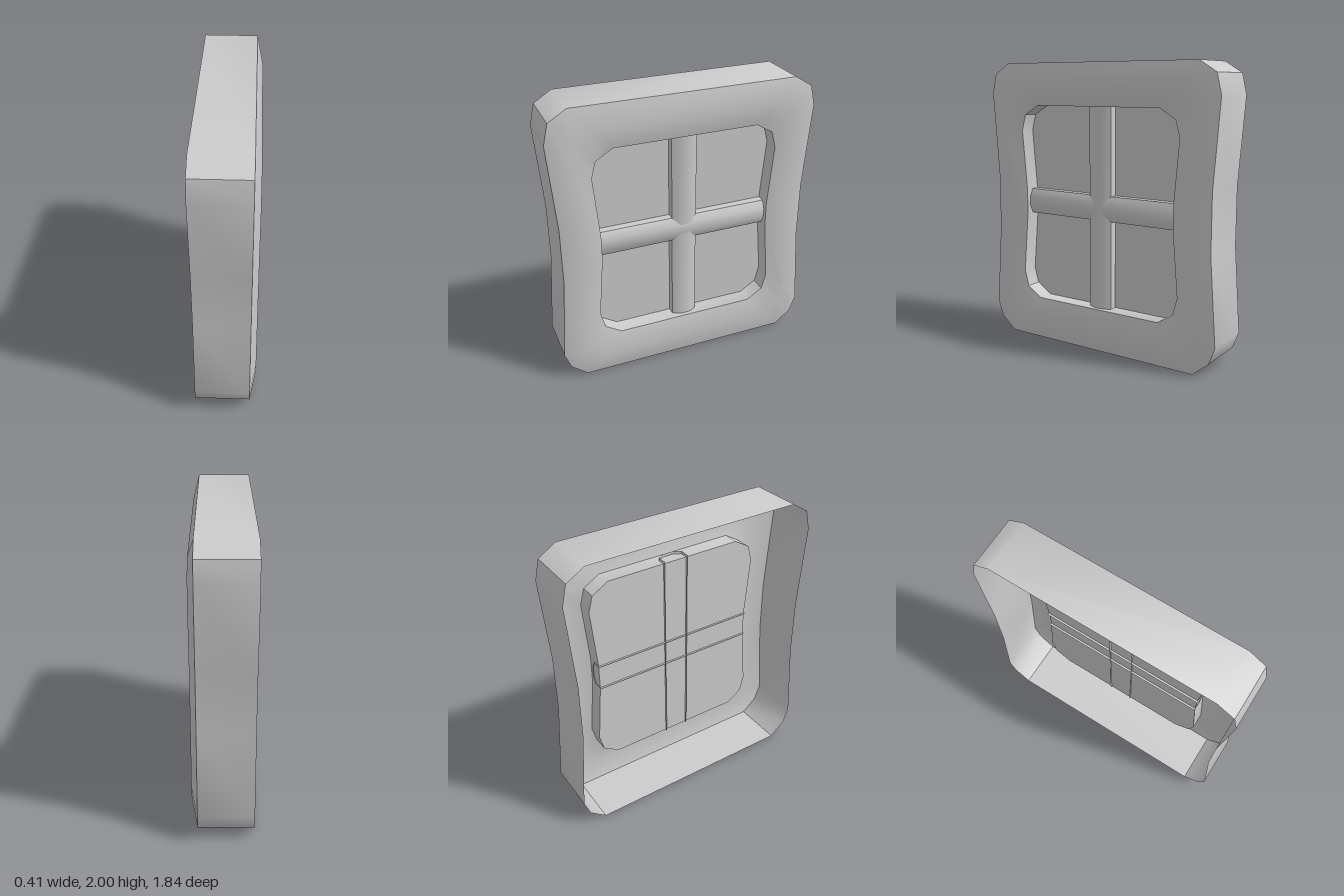
import * as THREE from 'three';
import { toCreasedNormals } from 'three/addons/utils/BufferGeometryUtils.js';

const material = new THREE.MeshStandardMaterial({ color: 0xcccccc, side: THREE.DoubleSide });

// Skin a surface over a list of rings of [x, y, z] points
function loft(rings, closed) {
  const n = rings[0].length;
  const index = [];
  for (let i = 0; i < rings.length - 1; i++) {
    for (let j = 0; j < (closed ? n : n - 1); j++) {
      const k = (j + 1) % n;
      const a = i * n + j, b = i * n + k;
      index.push(a, b, b + n, a, b + n, a + n);
    }
  }
  const geometry = new THREE.BufferGeometry();
  geometry.setAttribute('position', new THREE.Float32BufferAttribute(rings.flat(2), 3));
  geometry.setIndex(index);
  return toCreasedNormals(geometry, THREE.MathUtils.degToRad(35));
}

// Mirror a half outline of [z, y] points to the other side
const mirror = (half) => [...half, ...half.map(([z, y]) => [-z, y]).reverse()];
const ring = (outline, x) => outline.map(([z, y]) => [x, y, z]);

function addMesh(parent, name, geometry) {
  const mesh = new THREE.Mesh(geometry, material);
  mesh.name = name;
  parent.add(mesh);
  return mesh;
}

export function createModel() {
  const group = new THREE.Group();
  group.name = 'window';

  // Pinched outlines with clipped corners: outer edge, opening and the ridge midway
  const outer = mirror([[0.765, 2], [0.887, 1.925], [0.92, 1.787], [0.876, 1.2],
    [0.876, 0.8], [0.92, 0.21], [0.878, 0.095], [0.765, 0]]);
  const inner = mirror([[0.498, 1.705], [0.612, 1.637], [0.643, 1.525], [0.606, 1.1],
    [0.606, 0.92], [0.643, 0.49], [0.612, 0.373], [0.498, 0.3]]);
  const ridge = outer.map(([z, y], i) => [(z + inner[i][0]) / 2, (y + inner[i][1]) / 2]);

  // Hollow frame, open at the back
  const backX = -0.203, rimX = 0.163, ridgeX = 0.203, paneX = 0.05;
  addMesh(group, 'frame', loft([
    ring(outer, backX), ring(outer, rimX), ring(ridge, ridgeX), ring(inner, rimX), ring(inner, paneX),
  ], true));

  // Pane closing the opening
  const shape = new THREE.Shape(inner.map(([z, y]) => new THREE.Vector2(-z, y)));
  const pane = addMesh(group, 'pane', new THREE.ShapeGeometry(shape));
  pane.rotation.y = Math.PI / 2;
  pane.position.x = paneX;

  // Crossing glazing bars: open channels with chamfered crowns
  const profile = [[0.035, 0.088], [0.105, 0.088], [0.132, 0.035],
    [0.132, -0.035], [0.105, -0.088], [0.035, -0.088]];
  const bar = (length) => loft(
    [-length / 2, length / 2].map((y) => profile.map(([x, z]) => [x, y, z])), false);

  const verticalBar = addMesh(group, 'verticalBar', bar(1.43));
  verticalBar.position.y = 1.01;
  const horizontalBar = addMesh(group, 'horizontalBar', bar(1.22));
  horizontalBar.position.y = 1.01;
  horizontalBar.rotation.x = Math.PI / 2;

  return group;
}
